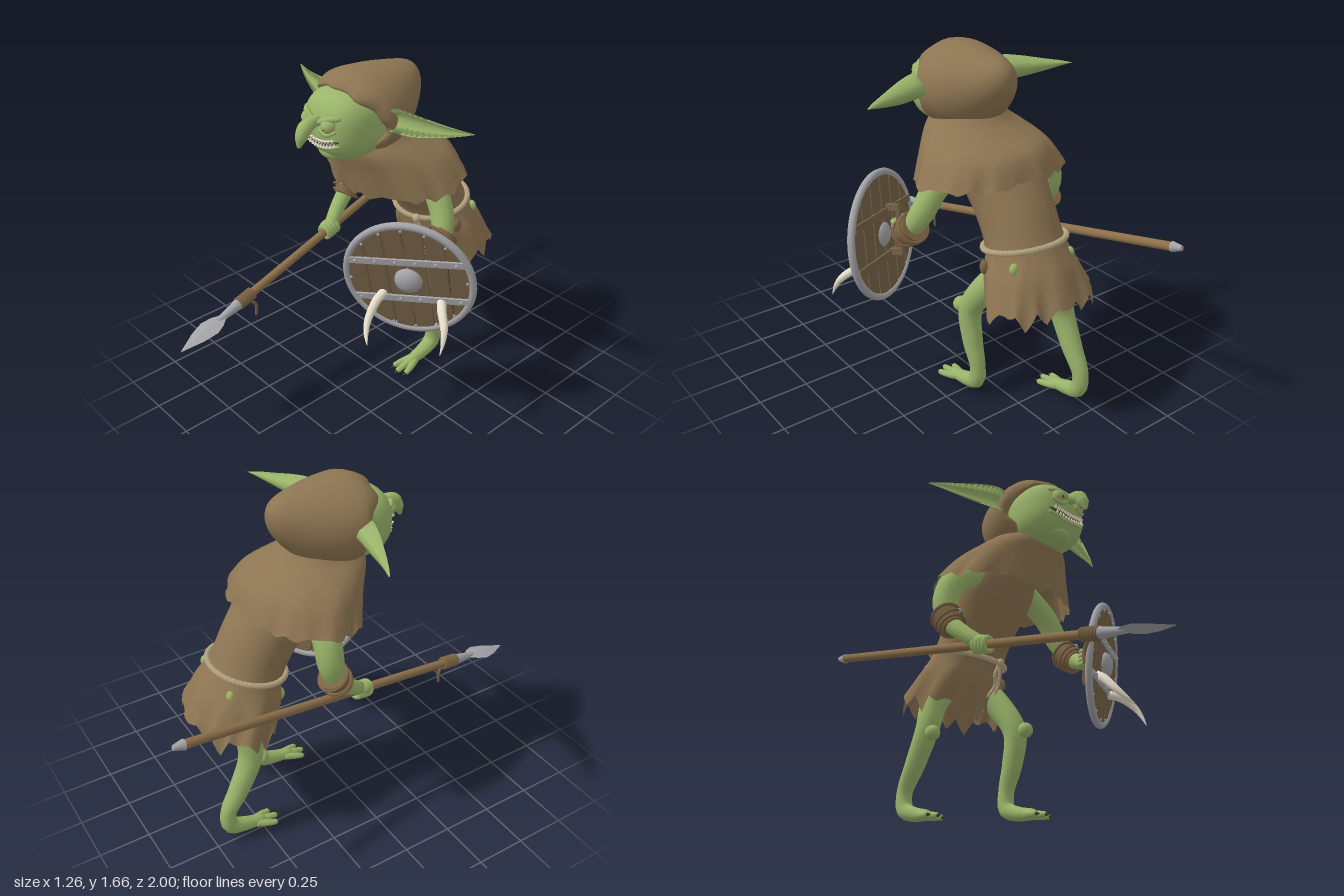
import * as THREE from 'three';

const V = (x, y, z) => new THREE.Vector3(x, y, z);
const mat = (name, color, side = THREE.FrontSide) => {
  const m = new THREE.MeshStandardMaterial({ color, side });
  m.name = name;
  return m;
};
const CX = -0.05; // body centre line

// Skin through equal-length rings of points
function loft(rings) {
  const n = rings[0].length, pos = [], idx = [];
  rings.forEach(r => r.forEach(p => pos.push(p.x, p.y, p.z)));
  for (let i = 0; i < rings.length - 1; i++) for (let j = 0; j < n; j++) {
    const a = i * n + j, b = i * n + (j + 1) % n;
    idx.push(a, b, a + n, b, b + n, a + n);
  }
  const g = new THREE.BufferGeometry();
  g.setAttribute('position', new THREE.Float32BufferAttribute(pos, 3));
  g.setIndex(idx);
  g.computeVertexNormals();
  return g;
}

// Catmull-Rom subdivision of rows of numbers
function refine(rows, k) {
  const out = [], at = i => rows[Math.min(Math.max(i, 0), rows.length - 1)];
  for (let i = 0; i < rows.length - 1; i++) for (let s = 0; s < k; s++) {
    const t = s / k;
    out.push(rows[i].map((_, c) => {
      const [a, b, d, e] = [at(i - 1)[c], at(i)[c], at(i + 1)[c], at(i + 2)[c]];
      return b + 0.5 * t * (d - a + t * (2 * a - 5 * b + 4 * d - e + t * (3 * (b - d) + e - a)));
    }));
  }
  out.push(rows[rows.length - 1]);
  return out;
}

// Tapered round limb through [x, y, z, radius] points, with rounded ends
function limb(pts, steps = 24, sides = 14) {
  const curve = new THREE.CatmullRomCurve3(pts.map(p => V(p[0], p[1], p[2])));
  const f = curve.computeFrenetFrames(steps, false), rings = [];
  const add = (i, scale, shift) => {
    const u = i / steps, q = curve.getUtoTmapping(u) * (pts.length - 1);
    const k = Math.min(Math.floor(q), pts.length - 2);
    const r = THREE.MathUtils.lerp(pts[k][3], pts[k + 1][3], q - k);
    const c = curve.getPointAt(u).addScaledVector(f.tangents[i], shift * r);
    rings.push(Array.from({ length: sides }, (_, j) => {
      const a = j / sides * Math.PI * 2;
      return c.clone().addScaledVector(f.normals[i], Math.cos(a) * r * scale)
        .addScaledVector(f.binormals[i], Math.sin(a) * r * scale);
    }));
  };
  add(0, 0.01, -0.8); add(0, 0.7, -0.55);
  for (let i = 0; i <= steps; i++) add(i, 1, 0);
  add(steps, 0.7, 0.55); add(steps, 0.01, 0.8);
  return loft(rings);
}

// Cloth tube; rows are [y, z, rx, rz, slope, wave, jag]
function cloth(rows, teeth) {
  const n = teeth * 6;
  return loft(refine(rows, 5).map(([y, z, rx, rz, slope, wave, jag]) =>
    Array.from({ length: n }, (_, j) => {
      const a = j / n * Math.PI * 2, w = 1 + wave * Math.sin(a * teeth / 2 + 1);
      const tooth = Math.abs((j % 6) / 3 - 1) * (0.7 + 0.5 * Math.sin(a * 5));
      return V(CX + rx * w * Math.cos(a), y - slope * rz * Math.sin(a) - jag * tooth, z + rz * w * Math.sin(a));
    })));
}

export function createModel() {
  const root = new THREE.Group();
  const skin = mat('green skin', 0x9ab46a), fabric = mat('brown cloth', 0x8d7552, THREE.DoubleSide);
  const wood = mat('spear wood', 0x8c6f4a), board = mat('shield boards', 0x746146);
  const leather = mat('leather', 0x7c6344), dark = mat('dark binding', 0x4a3a28);
  const steel = mat('steel', 0xa4a4a8), bone = mat('bone', 0xe8e0cc);
  const cord = mat('rope', 0xb8a684), eyeMat = mat('eye', 0xa9a56a);
  const add = (name, geo, m, parent = root, p = [0, 0, 0], s = [1, 1, 1]) => {
    const o = new THREE.Mesh(geo, m);
    o.name = name; o.position.set(...p); o.scale.set(...s);
    parent.add(o);
    return o;
  };
  const ball = (r, w = 18) => new THREE.SphereGeometry(r, w, Math.ceil(w * 0.7));
  const group = (name, parent = root) => { const g = new THREE.Group(); g.name = name; parent.add(g); return g; };

  // Clothing
  add('tunic', cloth([[0.62, -0.56, 0.275, 0.19, 0.16, 0.05, 0.075], [0.73, -0.5, 0.235, 0.187, 0.2, 0.03, 0],
    [0.85, -0.445, 0.188, 0.163, 0.24, 0, 0], [1.0, -0.36, 0.183, 0.158, 0.4, 0, 0],
    [1.18, -0.23, 0.2, 0.15, 0.45, 0, 0], [1.31, -0.1, 0.12, 0.12, 0.3, 0, 0]], 16), fabric);
  add('shoulderCape', cloth([[1.115, -0.19, 0.38, 0.28, 0.12, 0.025, 0.026], [1.22, -0.145, 0.31, 0.27, 0.09, 0.01, 0],
    [1.295, -0.075, 0.235, 0.23, 0.03, 0, 0], [1.34, -0.05, 0.18, 0.19, 0, 0, 0], [1.39, -0.05, 0.14, 0.14, 0, 0, 0]], 20), fabric);
  // Hood rows: z, y, rx, ry, lean of the opening, notch at the ears
  const hood = refine([[0.03, 1.45, 0.17, 0.14, 0.2, 0.02], [0.13, 1.45, 0.19, 0.148, 0.3, 0.07], [0.135, 1.455, 0.212, 0.17, 0.25, 0.07],
    [0.06, 1.467, 0.234, 0.196, 0.2, 0.02], [-0.06, 1.472, 0.212, 0.188, 0.1, 0], [-0.17, 1.488, 0.156, 0.157, 0, 0],
    [-0.26, 1.525, 0.09, 0.1, 0, 0], [-0.3, 1.54, 0.038, 0.045, 0, 0], [-0.308, 1.543, 0.001, 0.001, 0, 0]], 4);
  add('hood', loft(hood.map(([z, y, rx, ry, lean, notch]) => Array.from({ length: 48 }, (_, j) => {
    const a = j / 48 * Math.PI * 2, c = Math.cos(a), s = Math.sin(a);
    return V(CX + rx * c, y + ry * s, z + lean * ry * s - notch * c ** 4 + notch * 0.12 * Math.sin(9 * a));
  }))), fabric);
  for (const [x, y, z] of [[-0.185, 0.81, -0.6], [0.12, 0.81, -0.575]])
    add('tunicTear', ball(0.025, 10), skin, root, [x, y, z], [0.9, 1.2, 0.8]);
  add('sidePatch', ball(0.026, 10), leather, root, [0.163, 0.77, -0.42], [0.7, 1.3, 0.9]);

  // Rope belt: two twisted strands, knot and hanging ends
  class Strand extends THREE.Curve {
    constructor(phase) { super(); this.phase = phase; }
    getPoint(t) {
      const a = t * Math.PI * 2, h = a * 48 + this.phase, r = 0.007 * Math.cos(h);
      return V(CX + (0.198 + r) * Math.cos(a), 0.85 - 0.042 * Math.sin(a) + 0.007 * Math.sin(h), -0.445 + (0.172 + r) * Math.sin(a));
    }
  }
  for (const ph of [0, Math.PI]) add('ropeBelt', new THREE.TubeGeometry(new Strand(ph), 400, 0.008, 6, true), cord);
  add('beltKnot', ball(0.022), cord, root, [0.02, 0.81, -0.275]);
  for (const s of [-1, 1]) add('ropeEnd', limb([[0.02, 0.81, -0.28, 0.008], [0.015 + s * 0.015, 0.75, -0.292, 0.008],
    [0.03 + s * 0.01, 0.7, -0.312, 0.008], [0.015 + s * 0.018, 0.64, -0.345, 0.008]], 16, 6), cord);

  // Head: boxy rounded ball
  const P = 2.6, H = [0.175, 0.163, 0.185], HC = [CX, 1.437, 0.105];
  const headGeo = ball(1, 40), hp = headGeo.attributes.position;
  for (let i = 0; i < hp.count; i++) {
    const v = V(hp.getX(i), hp.getY(i), hp.getZ(i));
    const k = (Math.abs(v.x) ** P + Math.abs(v.y) ** P + Math.abs(v.z) ** P) ** (-1 / P);
    hp.setXYZ(i, v.x * k * H[0], v.y * k * H[1], v.z * k * H[2]);
  }
  headGeo.computeVertexNormals();
  add('head', headGeo, skin, root, HC);
  const faceZ = (x, y) => HC[2] + H[2] * Math.max(0, 1 - Math.abs((x - CX) / H[0]) ** P - Math.abs((y - HC[1]) / H[1]) ** P) ** (1 / P);
  const onFace = (dx, y, r, out = 0) => [CX + dx, y, faceZ(CX + dx, y) + out, r];
  add('neck', limb([[CX, 1.36, 0.03, 0.1], [CX, 1.25, -0.12, 0.11]], 6), skin);
  add('nose', limb([[CX, 1.475, 0.25, 0.022], [CX, 1.482, 0.31, 0.027], [CX, 1.465, 0.355, 0.034], [CX, 1.425, 0.38, 0.028], [CX, 1.388, 0.393, 0.01]]), skin);
  const smile = dx => 1.38 + 2 * dx * dx;
  const mouthXs = [-0.11, -0.06, 0, 0.06, 0.11];
  add('mouth', limb(mouthXs.map((d, i) => onFace(d, smile(d), [0.005, 0.011, 0.012, 0.011, 0.005][i], -0.004)), 30, 8), dark);
  add('lowerLip', limb(mouthXs.map(d => onFace(d, smile(d) - 0.022, 0.009, -0.001)), 30, 8), skin);
  add('chin', ball(0.055), skin, root, [CX, 1.318, 0.205], [1.4, 0.75, 1]);
  for (let i = -5; i <= 5; i++) for (const s of [1, -1]) {
    const d = (i + (s < 0 ? 0.5 : 0)) * 0.018, [x, y, z] = onFace(d, smile(d) + s * 0.006, 0, 0.008);
    const t = add('tooth', new THREE.ConeGeometry(0.0085, 0.021, 7), bone, root, [x, y, z]);
    if (s > 0) t.rotation.x = Math.PI;
  }
  for (const s of [-1, 1]) {
    const [x, y, z] = onFace(s * 0.066, 1.468, 0, -0.008);
    add('eye', ball(0.034), eyeMat, root, [x, y, z]);
    add('pupil', ball(0.009, 10), dark, root, [x - s * 0.004, y - 0.002, z + 0.031], [1, 1, 0.5]);
    const lid = add('upperLid', new THREE.SphereGeometry(0.039, 18, 8, 0, Math.PI * 2, 0, Math.PI / 2), skin, root, [x, y + 0.004, z]);
    lid.rotation.set(0.15, 0, s * 0.3);
    add('lowerLid', limb([onFace(s * 0.03, 1.45, 0.008, 0.01), onFace(s * 0.066, 1.434, 0.011, 0.01), onFace(s * 0.104, 1.452, 0.008, 0.008)], 12, 8), skin);
    add('brow', limb([onFace(s * 0.02, 1.482, 0.013, 0.01), onFace(s * 0.07, 1.503, 0.016, 0.008), onFace(s * 0.11, 1.51, 0.01, 0)], 12, 10), skin);
    // Ear rows: distance out, top, bottom, z, cup depth
    const ear = refine([[0.14, 1.5, 0.03, 1.45, 0.015], [0.21, 1.52, 0.045, 1.432, 0.035], [0.25, 1.55, 0.04, 1.428, 0.037],
      [0.34, 1.54, 0.015, 1.432, 0.03], [0.45, 1.517, -0.025, 1.453, 0.016], [0.53, 1.502, -0.06, 1.474, 0.007], [0.578, 1.49, -0.085, 1.489, 0.001]], 4);
    add('ear', loft(ear.map(([d, top, z, low, cup]) => {
      const x = CX + s * d, m = (top + low) / 2, q = (top - low) / 4;
      const ring = [V(x, top, z + cup * 0.5), V(x, m + q, z - cup * 0.35), V(x, m, z - cup * 0.6), V(x, m - q, z - cup * 0.35),
        V(x, low, z + cup * 0.3), V(x, m - q, z - cup * 0.9 - 0.004), V(x, m, z - cup * 1.2 - 0.006), V(x, m + q, z - cup * 0.9 - 0.004)];
      return s > 0 ? ring : ring.reverse();
    })), skin);
  }

  // Arms and bracers
  const arms = {
    rightArm: [[-0.22, 1.2, -0.2, 0.065], [-0.36, 1.09, -0.21, 0.065], [-0.4, 0.97, -0.21, 0.061], [-0.395, 0.87, -0.18, 0.046], [-0.375, 0.78, -0.09, 0.038], [-0.345, 0.725, -0.02, 0.034]],
    leftArm: [[0.12, 1.2, -0.2, 0.065], [0.24, 1.09, -0.17, 0.06], [0.31, 0.97, -0.15, 0.056], [0.34, 0.88, -0.1, 0.044], [0.32, 0.82, 0, 0.038], [0.28, 0.785, 0.06, 0.034]],
  };
  for (const [name, p] of Object.entries(arms)) {
    add(name, limb(p), skin);
    const b = group(name + 'Bracer'), [x, y, z] = p[3], n = p[4];
    b.position.set(x, y, z);
    b.lookAt(x + (n[0] - p[2][0]) * 0.7, n[1], z + (n[2] - p[2][2]) * 0.5);
    const cuff = add('cuff', new THREE.CylinderGeometry(0.067, 0.057, 0.1, 20), leather, b);
    cuff.rotation.x = -Math.PI / 2;
    [[-0.035, 0.071], [0, 0.07], [0.04, 0.064]].forEach(([d, r], i) => {
      const t = add('cuffRing', new THREE.TorusGeometry(r, 0.007, 8, 28), leather, b, [0, 0, d]);
      t.rotation.y = (i % 2 - 0.5) * 0.25;
    });
    add('cuffStud', ball(0.012, 10), steel, b, [0, 0.07, 0]);
  }
  // Closed hand gripping local z
  const fist = parent => {
    const f = group('hand', parent);
    add('palm', ball(0.04), skin, f, [-0.012, 0.014, 0], [0.85, 0.75, 1.15]);
    for (let i = 0; i < 4; i++) add('finger', new THREE.TorusGeometry(0.031, 0.013, 8, 18), skin, f, [0, 0, (i - 1.5) * 0.022]);
    return f;
  };

  // Legs, feet, toes and claws
  add('pelvis', ball(0.15), skin, root, [CX, 0.75, -0.47], [1.1, 0.75, 0.85]);
  const legs = {
    leftLeg: { x: 0.12, toe: -0.05, knee: [0.12, 0.457, -0.195], p: [[0.04, 0.74, -0.48, 0.08], [0.09, 0.6, -0.345, 0.067], [0.115, 0.46, -0.265, 0.058], [0.118, 0.3, -0.285, 0.05], [0.115, 0.17, -0.322, 0.038], [0.115, 0.085, -0.315, 0.042], [0.118, 0.05, -0.24, 0.035], [0.12, 0.03, -0.14, 0.027]] },
    rightLeg: { x: -0.225, toe: -0.41, knee: [-0.225, 0.432, -0.485], p: [[-0.13, 0.74, -0.5, 0.08], [-0.19, 0.6, -0.53, 0.067], [-0.22, 0.46, -0.535, 0.058], [-0.228, 0.3, -0.605, 0.05], [-0.23, 0.17, -0.675, 0.038], [-0.228, 0.085, -0.665, 0.042], [-0.226, 0.05, -0.59, 0.035], [-0.225, 0.03, -0.5, 0.027]] },
  };
  for (const [name, { x, toe, knee, p }] of Object.entries(legs)) {
    add(name, limb(p, 36), skin);
    add('kneeKnob', ball(0.038), skin, root, knee);
    for (const s of [-1, 0, 1]) {
      const tx = x + s * 0.043, tz = toe - Math.abs(s) * 0.02;
      add('toe', limb([[x + s * 0.015, 0.033, toe - 0.12, 0.021], [x + s * 0.034, 0.023, tz - 0.05, 0.017], [tx, 0.016, tz - 0.012, 0.014]], 10, 10), skin);
      const c = add('claw', new THREE.ConeGeometry(0.01, 0.03, 8), dark, root, [tx, 0.013, tz + 0.006]);
      c.rotation.x = Math.PI / 2 + 0.15;
    }
  }

  // Spear along local z
  const spear = group('spear');
  spear.position.set(-0.3375, 0.705, 0);
  spear.lookAt(-0.21, 0.5, 1);
  const rod = (name, r0, r1, z0, z1, m, n = 14) => {
    const o = add(name, new THREE.CylinderGeometry(r1, r0, z1 - z0, n), m, spear, [0, 0, (z0 + z1) / 2]);
    o.rotation.x = Math.PI / 2;
  };
  rod('shaft', 0.021, 0.021, -0.98, 0.66, wood);
  rod('buttCap', 0.012, 0.025, -1.025, -0.975, steel);
  rod('socket', 0.028, 0.014, 0.65, 0.79, steel);
  for (let i = 0; i < 6; i++) add('binding', new THREE.TorusGeometry(0.024, 0.009, 8, 18), leather, spear, [0, 0, 0.57 + i * 0.016]);
  add('bindingTail', limb([[0.01, -0.02, 0.595, 0.009], [0.02, -0.06, 0.575, 0.009], [0.015, -0.12, 0.585, 0.006]], 10, 6), leather, spear);
  const bladeGeo = new THREE.LatheGeometry([[0.012, 0], [0.045, 0.05], [0.06, 0.1], [0.045, 0.17], [0.001, 0.28]].map(([r, y]) => new THREE.Vector2(r, y)), 4).toNonIndexed();
  bladeGeo.computeVertexNormals();
  const blade = add('blade', bladeGeo, steel, spear, [0, 0, 0.745], [1, 1, 0.22]);
  blade.rotation.x = Math.PI / 2;
  fist(spear);

  // Shield facing local z
  const shield = group('shield');
  shield.position.set(0.357, 0.778, 0.11);
  shield.lookAt(0.357 + 0.51, 0.778 - 0.13, 0.11 + 0.85);
  shield.rotateZ(0.12);
  add('rim', new THREE.TorusGeometry(0.297, 0.018, 10, 64), steel, shield);
  const R = 0.29, pitch = 0.095;
  for (let i = 0; i < 6; i++) {
    const x0 = (i - 3) * pitch + 0.004, x1 = x0 + pitch - 0.008, edge = [];
    for (let k = 0; k <= 6; k++) { const x = x0 + (x1 - x0) * k / 6; edge.push([x, Math.sqrt(Math.max(0, R * R - x * x))]); }
    const pts = [...edge.map(([x, y]) => new THREE.Vector2(x, -y)), ...edge.reverse().map(([x, y]) => new THREE.Vector2(x, y))];
    add('plank', new THREE.ExtrudeGeometry(new THREE.Shape(pts), { depth: 0.02, bevelEnabled: false }), board, shield, [0, 0, -0.01]);
  }
  for (const y of [0.105, -0.105]) {
    add('ironBand', new THREE.BoxGeometry(0.54, 0.032, 0.012), steel, shield, [0, y, 0.014]);
    add('backBrace', new THREE.BoxGeometry(0.54, 0.032, 0.012), board, shield, [0, y, -0.014]);
    for (let i = 0; i < 6; i++) add('rivet', ball(0.009, 8), steel, shield, [(i - 2.5) * pitch, y, 0.021]);
  }
  for (let i = 0; i < 16; i++) {
    const a = i / 16 * Math.PI * 2;
    add('rimRivet', ball(0.007, 8), steel, shield, [Math.cos(a) * 0.275, Math.sin(a) * 0.275, 0.012]);
  }
  add('boss', ball(0.066, 24), steel, shield, [0, 0, 0.01], [1, 1, 0.65]);
  const grip = fist(shield);
  grip.position.set(-0.05, 0.02, -0.07);
  grip.rotation.x = Math.PI / 2;
  add('gripBar', new THREE.CylinderGeometry(0.016, 0.016, 0.22, 12), board, shield, [-0.05, 0.01, -0.07]);
  for (const y of [-0.1, 0.12]) add('gripPost', new THREE.BoxGeometry(0.03, 0.03, 0.07), board, shield, [-0.05, y, -0.042]);

  // Curved tusks on the lower shield
  const tusks = [
    [[0.25, 0.68, 0.165, 0.022], [0.248, 0.65, 0.21, 0.022], [0.26, 0.58, 0.275, 0.018], [0.29, 0.53, 0.315, 0.011], [0.322, 0.5, 0.338, 0.002]],
    [[0.49, 0.68, 0.03, 0.022], [0.525, 0.668, 0.065, 0.022], [0.585, 0.62, 0.11, 0.018], [0.608, 0.57, 0.138, 0.011], [0.615, 0.515, 0.163, 0.002]],
  ];
  for (const t of tusks) add('tusk', limb(t), bone);
  return root;
}
